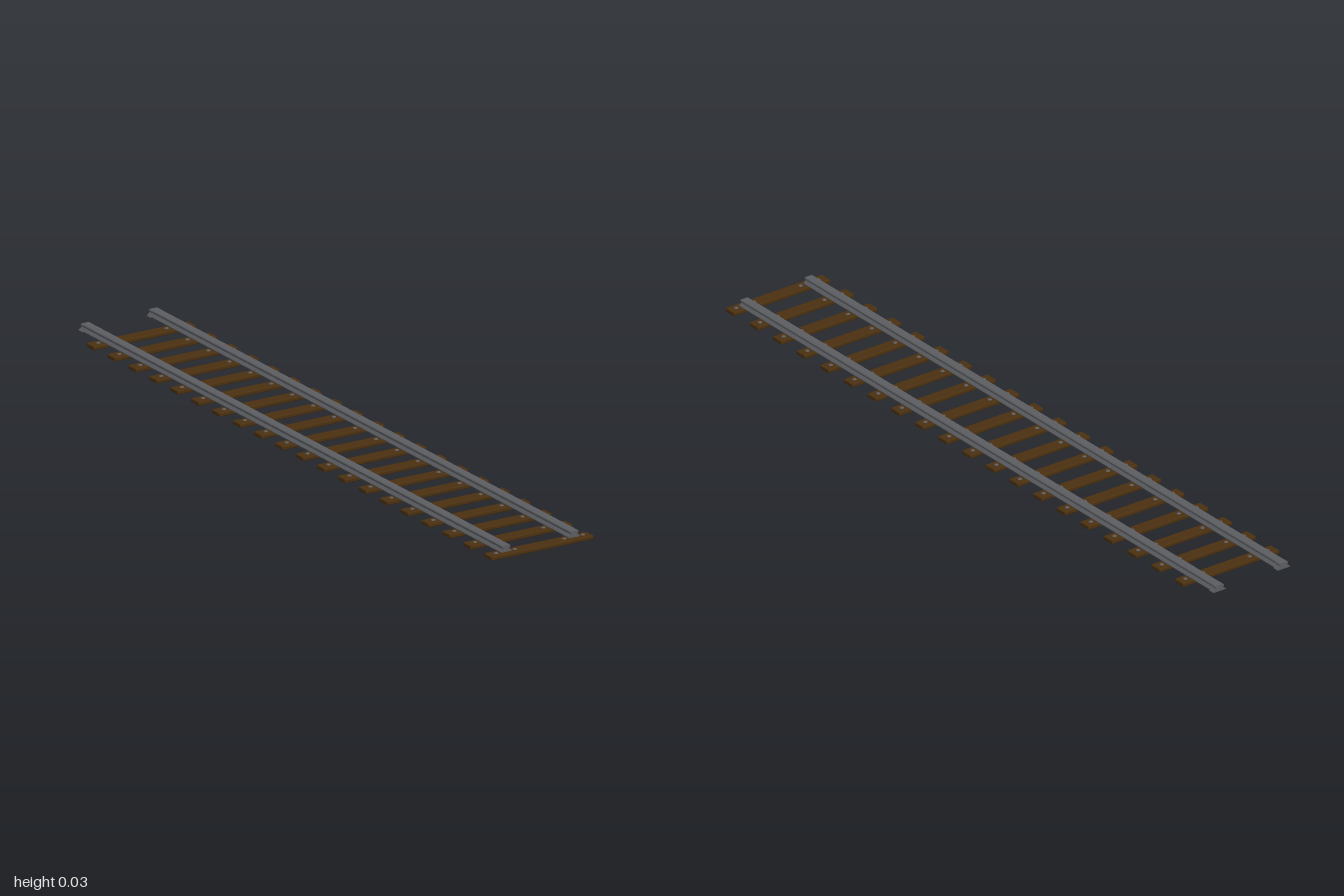
import * as THREE from 'three';
import { RoundedBoxGeometry } from 'three/addons/geometries/RoundedBoxGeometry.js';

const wood = new THREE.MeshStandardMaterial({ color: 0x4a3010 });
const steel = new THREE.MeshStandardMaterial({ color: 0x5a5c60, flatShading: true });

const RAIL_X = [-0.1, 0.104];
const SLEEPER_TOP = 0.011;

// Symmetric cross-section given by its right half, swept along z
function sweep(half, z0, z1) {
  const points = [...half, ...half.slice().reverse().map(([x, y]) => [-x, y])];
  const shape = new THREE.Shape(points.map(([x, y]) => new THREE.Vector2(x, y)));
  const geometry = new THREE.ExtrudeGeometry(shape, { depth: z1 - z0, bevelEnabled: false });
  return geometry.translate(0, 0, z0);
}

function add(parent, name, geometry, material, x = 0, y = 0, z = 0) {
  const mesh = new THREE.Mesh(geometry, material);
  mesh.name = name;
  mesh.position.set(x, y, z);
  parent.add(mesh);
  return mesh;
}

export function createModel() {
  const track = new THREE.Group();
  track.name = 'railwayTrack';

  // Sleepers with softened edges, each with a spike on both sides of each rail
  const sleeperGeometry = new RoundedBoxGeometry(0.306, SLEEPER_TOP, 0.037, 2, 0.003);
  const spikeGeometry = new THREE.SphereGeometry(0.006, 8, 4, 0, Math.PI * 2, 0, Math.PI / 2);
  spikeGeometry.scale(1, 0.5, 1);
  const count = 20;
  for (let i = 0; i < count; i++) {
    const sleeper = new THREE.Group();
    sleeper.name = 'sleeper' + (i + 1);
    sleeper.position.z = THREE.MathUtils.lerp(0.981, -0.894, i / (count - 1));
    add(sleeper, 'sleeperBeam', sleeperGeometry, wood, 0, SLEEPER_TOP / 2, 0);
    for (const x of RAIL_X) {
      for (const side of [-1, 1]) {
        add(sleeper, 'spike', spikeGeometry, steel, x + side * 0.028, SLEEPER_TOP, 0);
      }
    }
    track.add(sleeper);
  }

  // Rails: sloped foot, narrow web and chamfered head
  const railGeometry = sweep([
    [0.016, 0.011], [0.016, 0.013], [0.009, 0.019], [0.009, 0.021],
    [0.0125, 0.023], [0.0125, 0.0265], [0.0105, 0.0285],
  ], -1, 0.985);
  // Joint plate clasping the foot at the rear end
  const jointGeometry = sweep([
    [0.02, 0.011], [0.02, 0.0125], [0.011, 0.02], [0.011, 0.022],
    [0.0135, 0.0235], [0.0135, 0.026], [0.011, 0.0286],
  ], -1, -0.983);
  for (const x of RAIL_X) {
    const rail = new THREE.Group();
    rail.name = x > 0 ? 'leftRail' : 'rightRail';
    rail.position.x = x;
    add(rail, 'railBar', railGeometry, steel);
    add(rail, 'railJoint', jointGeometry, steel);
    track.add(rail);
  }
  return track;
}
